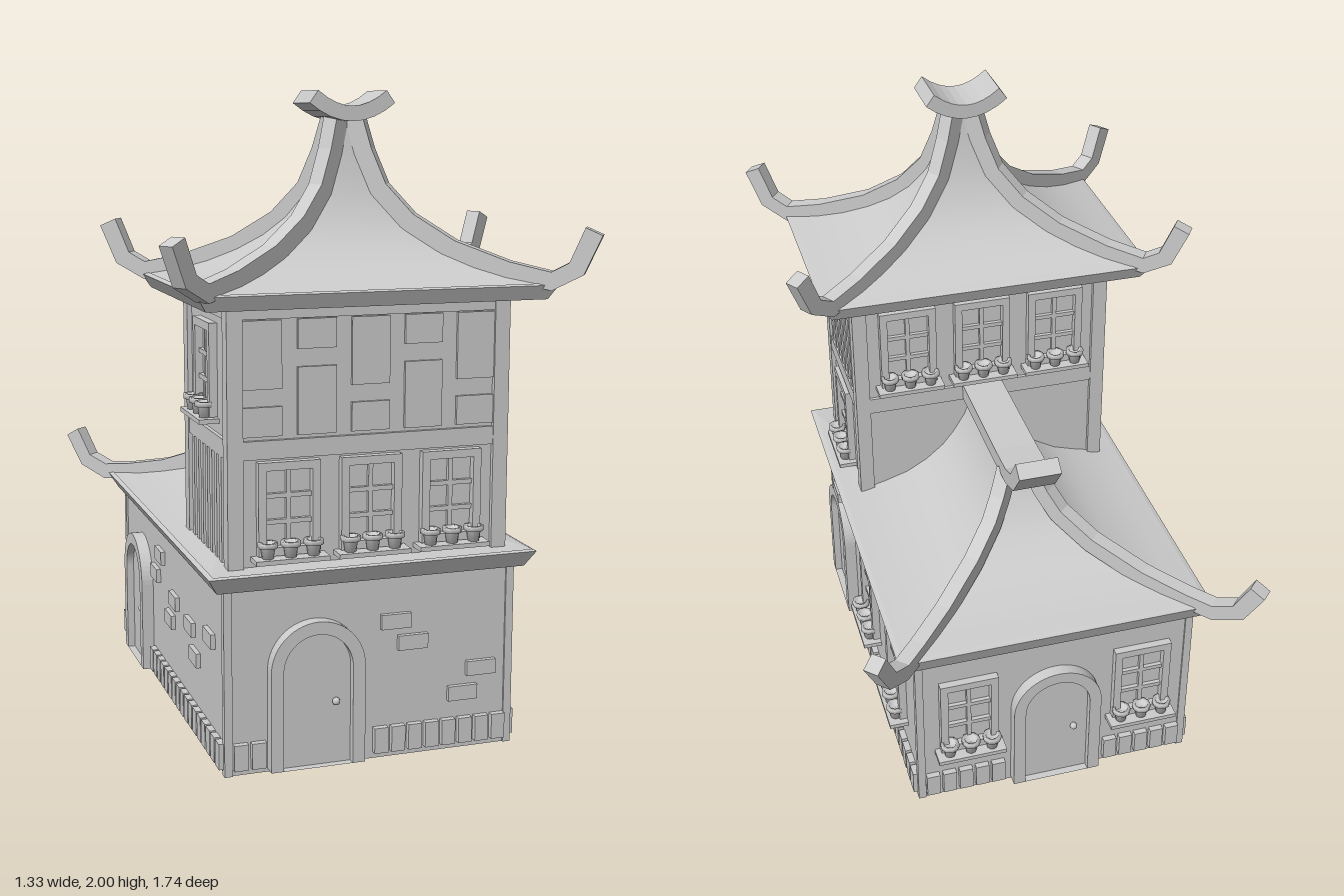
import * as THREE from 'three';

const mat = new THREE.MeshStandardMaterial({ color: 0xcccccc, side: THREE.DoubleSide });
const flatMat = new THREE.MeshStandardMaterial({ color: 0xcccccc, side: THREE.DoubleSide, flatShading: true });

function add(parent, name, geo, x = 0, y = 0, z = 0, m = mat) {
  const mesh = new THREE.Mesh(geo, m);
  mesh.name = name;
  mesh.position.set(x, y, z);
  parent.add(mesh);
  return mesh;
}
const box = (parent, name, w, h, d, x, y, z) => add(parent, name, new THREE.BoxGeometry(w, h, d), x, y, z);

// Rectangular loft; each level is [y, x0, x1, z0, z1], corners stay sharp
function loft(levels) {
  const pos = [], idx = [], n = levels.length;
  const corner = ([y, x0, x1, z0, z1], k) => [[x0, y, z1], [x1, y, z1], [x1, y, z0], [x0, y, z0]][k % 4];
  for (let s = 0; s < 4; s++) {
    levels.forEach((l, i) => {
      pos.push(...corner(l, s), ...corner(l, s + 1));
      if (i === n - 1) return;
      const a = (s * n + i) * 2;
      idx.push(a, a + 1, a + 2, a + 1, a + 3, a + 2);
    });
  }
  const g = new THREE.BufferGeometry();
  g.setAttribute('position', new THREE.Float32BufferAttribute(pos, 3));
  g.setIndex(idx);
  g.computeVertexNormals();
  return g;
}

// Bar of rectangular section that follows a path in the xy plane
function bar(path, thick, width) {
  const p = path.map(([x, y]) => new THREE.Vector2(x, y));
  const side = s => p.map((q, i) => {
    const t = p[Math.min(i + 1, p.length - 1)].clone().sub(p[Math.max(i - 1, 0)]).normalize();
    return new THREE.Vector2(q.x - t.y * s, q.y + t.x * s);
  });
  const shape = new THREE.Shape([...side(-thick / 2), ...side(thick / 2).reverse()]);
  return new THREE.ExtrudeGeometry(shape, { depth: width, bevelEnabled: false }).translate(0, 0, -width / 2);
}

// Wall frame: local x along the wall, y up, z outward
function wall(parent, name, cx, cz, halfX, halfZ, side) {
  const g = new THREE.Group();
  const [sx, sz] = [[0, 1], [1, 0], [0, -1], [-1, 0]][side];
  g.name = name;
  g.position.set(cx + sx * halfX, 0, cz + sz * halfZ);
  g.rotation.y = side * Math.PI / 2;
  parent.add(g);
  return g;
}

const potProfile = [[0, 0], [0.017, 0], [0.022, 0.033], [0.03, 0.033], [0.03, 0.048], [0.02, 0.048], [0.018, 0.036], [0, 0.036]]
  .map(([r, y]) => new THREE.Vector2(r, y));
const rect = (P, w, h) => new P().moveTo(-w / 2, 0).lineTo(w / 2, 0).lineTo(w / 2, h).lineTo(-w / 2, h).closePath();

// Window with frame, glazing bars, sill and three flowerpots
function windowUnit(parent, x, y) {
  const g = new THREE.Group();
  g.name = 'window';
  g.position.set(x, y, 0);
  const frame = rect(THREE.Shape, 0.19, 0.28);
  frame.holes.push(new THREE.Path([[-0.07, 0.025], [-0.07, 0.255], [0.07, 0.255], [0.07, 0.025]].map(q => new THREE.Vector2(...q))));
  add(g, 'windowFrame', new THREE.ExtrudeGeometry(frame, { depth: 0.025, bevelEnabled: false }));
  box(g, 'glazingBar', 0.014, 0.23, 0.014, 0, 0.14, 0.006);
  for (const h of [0.1, 0.178]) box(g, 'glazingBar', 0.14, 0.014, 0.014, 0, h, 0.006);
  box(g, 'windowSill', 0.225, 0.014, 0.062, 0, -0.009, 0.031);
  for (const px of [-0.07, 0, 0.07]) add(g, 'flowerpot', new THREE.LatheGeometry(potProfile, 10), px, -0.002, 0.033);
  parent.add(g);
}

function arch(P, half, spring) {
  return new P().moveTo(-half, 0).lineTo(half, 0).lineTo(half, spring).absarc(0, spring, half, 0, Math.PI, false).lineTo(-half, 0);
}

// Arched door with surround and knob
function door(parent, x) {
  const g = new THREE.Group();
  g.name = 'door';
  g.position.set(x, 0.01, 0);
  const surround = arch(THREE.Shape, 0.147, 0.305);
  surround.holes.push(arch(THREE.Path, 0.108, 0.305));
  const extrude = (s, depth) => new THREE.ExtrudeGeometry(s, { depth, bevelEnabled: false, curveSegments: 14 });
  add(g, 'doorSurround', extrude(surround, 0.04));
  add(g, 'doorPanel', extrude(arch(THREE.Shape, 0.108, 0.305), 0.015));
  add(g, 'doorKnob', new THREE.SphereGeometry(0.012, 10, 8), 0.06, 0.195, 0.024);
  parent.add(g);
}

// Row of plinth stones that leaves a gap at the door
function plinth(parent, half, doorX) {
  const n = Math.floor(half * 2 / 0.055);
  for (let i = 0; i < n; i++) {
    const x = (i + 0.5 - n / 2) * 0.055;
    if (Math.abs(x - doorX) > 0.17) box(parent, 'plinthStone', 0.044, 0.08, 0.04, x, 0.06, 0);
  }
}
const bricks = (parent, list) => list.forEach(([x, y]) => box(parent, 'brick', 0.095, 0.046, 0.03, x, y, 0));

// Four corner posts
function posts(parent, name, cz, hx, hz, w, y0, y1) {
  for (const sx of [-1, 1]) for (const sz of [-1, 1])
    box(parent, name, w, y1 - y0, w, sx * (hx - w / 2), (y0 + y1) / 2, cz + sz * (hz - w / 2));
}

// Hip rib that runs from the apex outward along (dx, dz) and curls up at its tip
function rib(parent, path, dx, dz, z) {
  const k = Math.hypot(1, dz / dx);
  const m = add(parent, 'hipRib', bar(path.map(([x, y]) => [x * k, y]), 0.055, 0.05), 0, 0, z);
  m.rotation.y = -Math.atan2(dz, dx);
}

export function createModel() {
  const model = new THREE.Group();
  model.name = 'house';
  const root = new THREE.Group();
  root.name = 'building';
  root.position.x = -0.01;
  model.add(root);

  // Ground floor
  const HX = 0.455, HZ = 0.69, CZ = 0.01;
  box(root, 'groundFloor', HX * 2, 0.59, HZ * 2, 0, 0.295, CZ);
  posts(root, 'cornerPost', CZ, HX + 0.006, HZ + 0.006, 0.025, 0, 0.58);
  const ground = [HX, HZ, HX, HZ].map((_, s) => wall(root, 'groundWall', 0, CZ, HX, HZ, s));
  const doorX = [-0.18, -0.42, 0, -0.41];
  ground.forEach((w, s) => {
    door(w, doorX[s]);
    plinth(w, s % 2 ? HZ : HX, doorX[s]);
  });
  bricks(ground[0], [[0.075, 0.43], [0.13, 0.36], [0.355, 0.255], [0.295, 0.18]]);
  bricks(ground[3], [[-0.12, 0.46], [-0.19, 0.38], [0.08, 0.36], [0.02, 0.28], [0.29, 0.34], [0.35, 0.26], [0.53, 0.38]]);
  for (const x of [0.03, 0.435]) windowUnit(ground[1], x, 0.205);
  for (const x of [-0.29, 0.29]) windowUnit(ground[2], x, 0.205);

  // Lower eaves and rear hip roof
  add(root, 'lowerEaves', loft([
    [0.57, -0.44, 0.44, -0.66, 0.68], [0.57, -0.485, 0.485, -0.695, 0.725],
    [0.62, -0.515, 0.515, -0.715, 0.75], [0.625, -0.5, 0.5, -0.7, 0.74]]), 0, 0, 0, flatMat);
  const rearProfile = [[0.51, 0.622], [0.42, 0.633], [0.35, 0.65], [0.27, 0.675], [0.2, 0.715], [0.14, 0.765], [0.1, 0.815], [0.06, 0.88], [0.03, 0.965]];
  add(root, 'rearRoof', loft(rearProfile.map(([w, y], i) => [y, -w, w, -0.205 - w, i ? 0.5 : 0.745])));
  const rearRib = [[0.04, 0.96], [0.075, 0.875], [0.115, 0.805], [0.2, 0.73], [0.33, 0.665], [0.44, 0.635], [0.51, 0.625], [0.57, 0.66], [0.61, 0.76]];
  for (const sx of [-1, 1]) rib(root, rearRib, sx, -1, -0.225);
  const ridge = add(root, 'rearRidge', bar([[-0.25, 0.98], [0.22, 0.98], [0.34, 0.985], [0.41, 1.01], [0.47, 1.09]], 0.054, 0.137));
  ridge.rotation.y = Math.PI / 2;
  box(root, 'eaveBlock', 0.05, 0.035, 0.085, 0.495, 0.595, 0.25);

  // Tower
  const TX = 0.425, TZ = 0.238, TC = 0.432;
  box(root, 'tower', TX * 2, 0.8, TZ * 2, 0, 1.01, TC);
  posts(root, 'towerPost', TC, TX + 0.015, TZ + 0.015, 0.048, 0.61, 1.4);
  const tower = [0, 1, 2, 3].map(s => wall(root, 'towerWall', 0, TC, TX, TZ, s));
  tower.forEach((w, s) => {
    const len = 2 * (s % 2 ? TZ : TX);
    box(w, 'crossBeam', len, 0.055, 0.024, 0, 0.975, 0);
    box(w, 'topBeam', len, 0.045, 0.024, 0, 1.378, 0);
  });

  // Front: three windows below, staggered panels above
  for (const x of [-0.255, 0, 0.255]) {
    windowUnit(tower[0], x, 0.66);
    windowUnit(tower[2], x, 1.05);
  }
  for (let i = 0; i < 5; i++) {
    const x = (i - 2) * 0.166, odd = i % 2;
    box(tower[0], 'wallPanel', 0.118, 0.2, 0.02, x, odd ? 1.113 : 1.252, 0);
    box(tower[0], 'wallPanel', 0.118, 0.087, 0.02, x, odd ? 1.309 : 1.057, 0);
  }

  // Sides: one window and a field of vertical slats, swapped in height
  for (const [s, winY, slatY] of [[1, 0.66, 1.18], [3, 1.05, 0.79]]) {
    windowUnit(tower[s], 0, winY);
    for (let i = 0; i < 7; i++) box(tower[s], 'wallSlat', 0.028, 0.33, 0.024, (i - 3) * 0.053, slatY, 0);
  }

  // Upper eaves and pagoda roof
  const ratio = 0.66;
  const level = (w, y) => [y, -w, w, TC - 0.008 - w * ratio, TC - 0.008 + w * ratio];
  add(root, 'upperEaves', loft([level(0.3, 1.392), level(0.52, 1.392), level(0.547, 1.435), level(0.53, 1.44)]), 0, 0, 0, flatMat);
  const roofProfile = [[0.545, 1.435], [0.45, 1.455], [0.37, 1.482], [0.29, 1.52], [0.22, 1.565], [0.16, 1.62], [0.11, 1.69], [0.075, 1.77], [0.05, 1.85], [0.035, 1.92]];
  add(root, 'upperRoof', loft(roofProfile.map(([w, y]) => level(w, y))));
  const upperRib = [[0.03, 1.92], [0.055, 1.82], [0.095, 1.71], [0.17, 1.615], [0.28, 1.535], [0.42, 1.475], [0.53, 1.447], [0.59, 1.485], [0.63, 1.595]];
  for (const sx of [-1, 1]) for (const sz of [-1, 1]) rib(root, upperRib, sx, sz * ratio, TC - 0.008);

  // Curved cap on the apex
  const cap = [-2, -1.5, -1, -0.5, 0, 0.5, 1, 1.5, 2].map(t => [t * 0.06, 1.931 + 0.0123 * t * t]);
  add(root, 'roofCap', bar(cap, 0.045, 0.165), 0, 0, TC - 0.008);

  return model;
}
